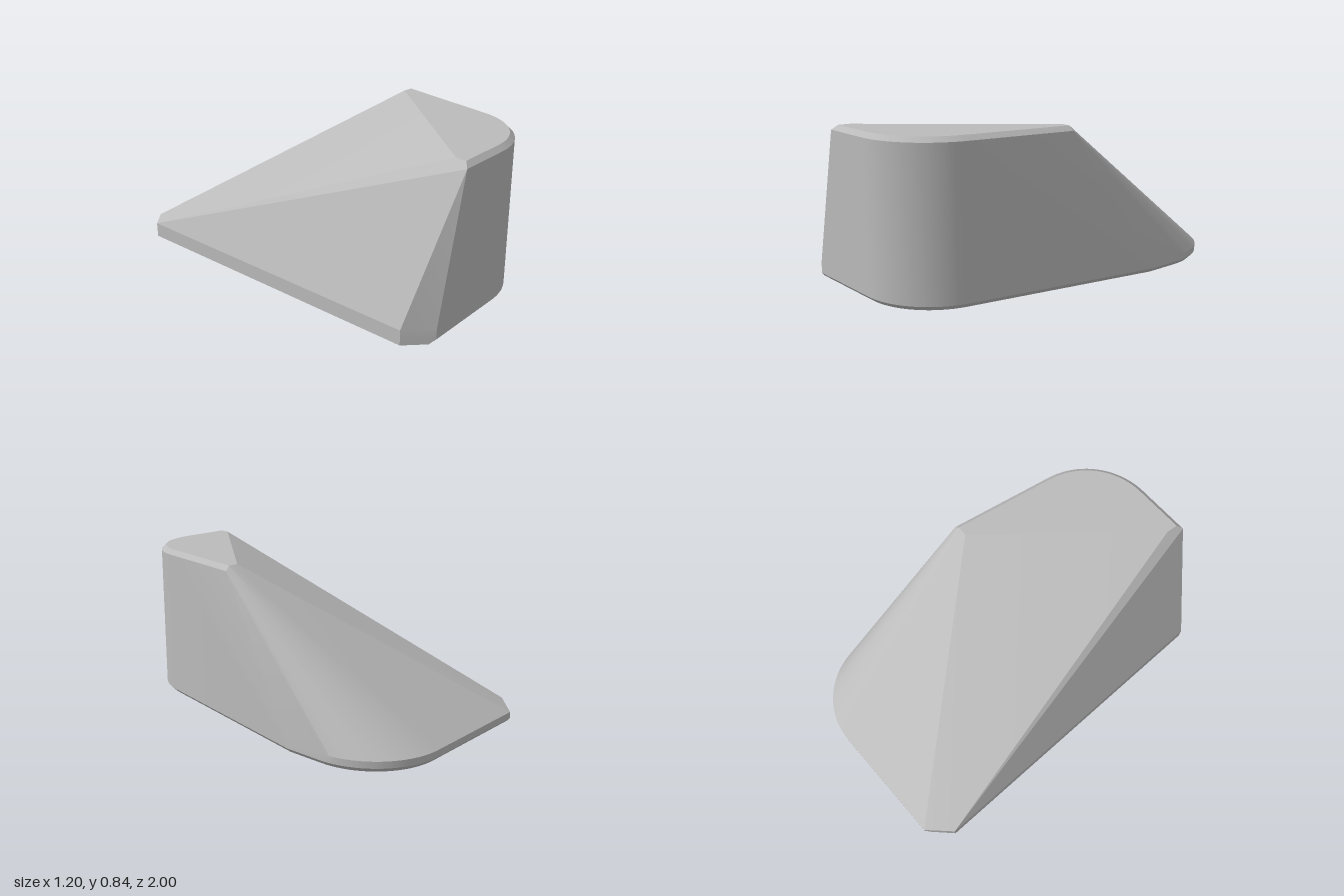
import * as THREE from 'three';
import { ConvexGeometry } from 'three/addons/geometries/ConvexGeometry.js';
import { toCreasedNormals } from 'three/addons/utils/BufferGeometryUtils.js';

const SEGMENTS = 20;
const BEVEL = 0.025;
const TOP = 0.84;

// Quarter arc in plan: angle is measured from +x towards +z
function arc(cx, cz, radius, from, to, y) {
  return Array.from({ length: SEGMENTS + 1 }, (_, i) => {
    const a = from + ((to - from) * i) / SEGMENTS;
    return new THREE.Vector3(cx + radius * Math.cos(a), y, cz + radius * Math.sin(a));
  });
}

const frontArc = (y, inset) => arc(0, 0.6, 0.4 - inset, 0.19, Math.PI / 2, y);
const backArc = (y, inset) => arc(0.2, -0.6, 0.4 - inset, -Math.PI / 2, 0, y);

export function createModel() {
  const grey = new THREE.MeshStandardMaterial({ color: 0xbbbbbb });
  grey.name = 'grey';
  const p = (x, y, z) => new THREE.Vector3(x, y, z);

  const points = [
    // underside, inset by the bevel on the rounded sides
    ...frontArc(0, BEVEL), ...backArc(0, BEVEL),
    p(0.575, 0, -0.4),
    p(-0.505, 0, 0.975), p(-0.505, 0, -0.975),
    p(-0.6, 0, 0.88), p(-0.6, 0, -0.88),
    // lower rim at full width
    ...frontArc(BEVEL, 0), ...backArc(BEVEL, 0),
    p(0.6, BEVEL, -0.4),
    p(-0.48, BEVEL, 1), p(-0.48, BEVEL, -1),
    // rim where the sloping faces start
    ...backArc(0.06, 0),
    p(0.6, 0.06, -0.4),
    p(-0.48, 0.06, -1), p(-0.48, 0.08, 1),
    p(-0.6, 0.08, 0.88), p(-0.6, 0.08, -0.88),
    // upper rim of the front wall
    ...frontArc(TOP - BEVEL, 0),
    p(-0.3, TOP - BEVEL, 1), p(0.5, TOP - BEVEL, 0.11),
    // flat top
    ...frontArc(TOP, BEVEL),
    p(-0.272, TOP, 0.975), p(-0.265, TOP, 0.915),
    p(0.475, TOP, 0.115), p(0.42, TOP, 0.112),
  ];

  const wedge = new THREE.Mesh(toCreasedNormals(new ConvexGeometry(points), 0.3), grey);
  wedge.name = 'bevelledWedge';

  const group = new THREE.Group();
  group.name = 'wedgeBlock';
  group.add(wedge);
  return group;
}
